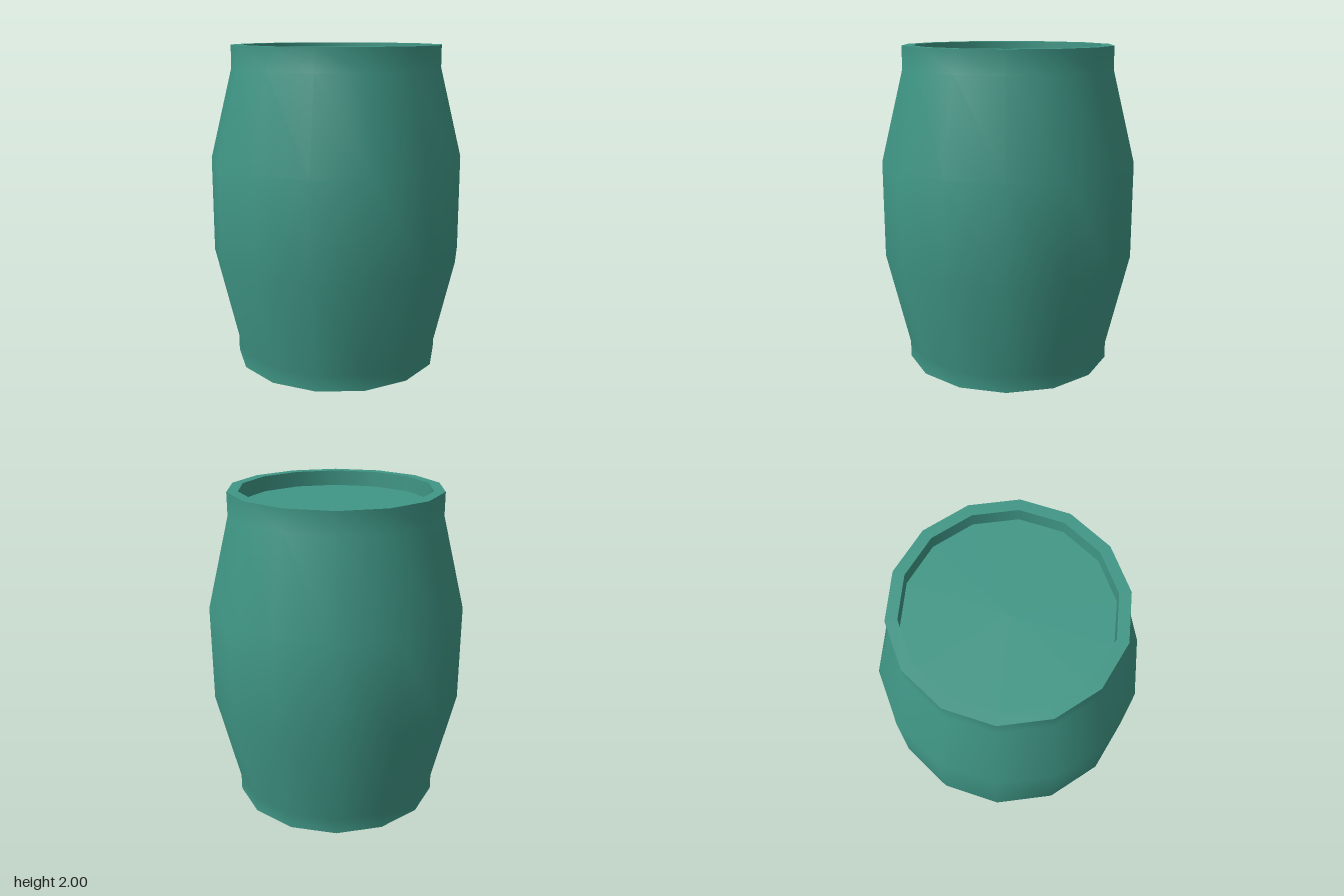
import * as THREE from 'three';

const SIDES = 14;

export function createModel() {
  const group = new THREE.Group();
  group.name = 'barrel';
  const material = new THREE.MeshStandardMaterial({ color: 0x3f9685 });

  // One lathe per surface: smooth around, with a sharp edge between surfaces
  const ring = (name, profile) => {
    const points = profile.map(([r, y]) => new THREE.Vector2(r, y));
    const geometry = new THREE.LatheGeometry(points, SIDES, Math.PI / 2);
    const mesh = new THREE.Mesh(geometry, material);
    mesh.name = name;
    group.add(mesh);
  };

  ring('base', [[0, 0], [0.65, 0]]);
  // Bulging body with a short straight collar at each end
  ring('body', [[0.65, 0], [0.65, 0.1], [0.79, 0.7], [0.79, 1.3], [0.65, 1.86], [0.65, 2]]);
  // Rim around the sunken lid
  ring('rim', [[0.65, 2], [0.583, 2]]);
  ring('rimInside', [[0.583, 2], [0.583, 1.905]]);
  ring('lid', [[0.583, 1.905], [0, 1.905]]);

  return group;
}
